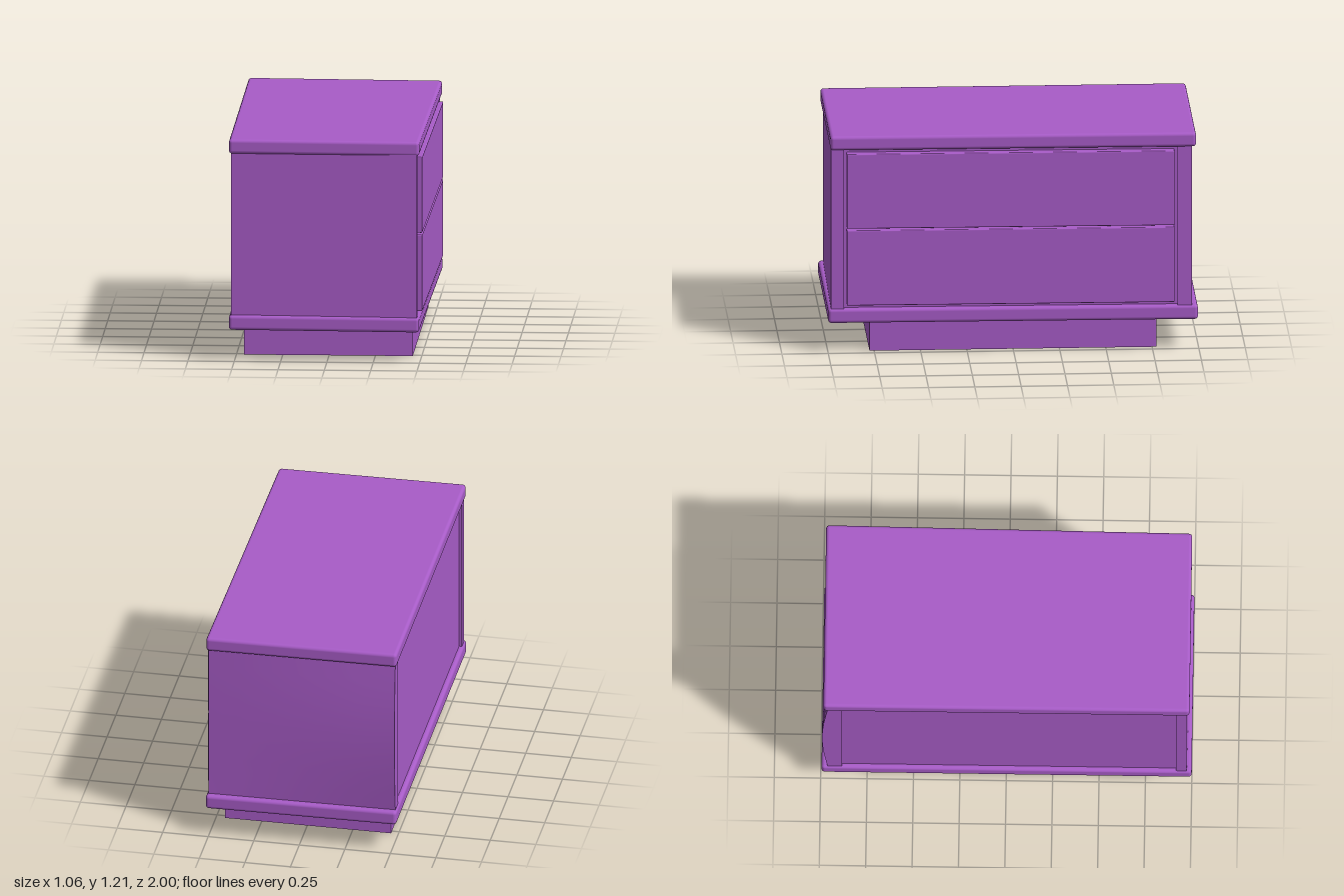
import * as THREE from 'three';
import { RoundedBoxGeometry } from 'three/addons/geometries/RoundedBoxGeometry.js';

const material = new THREE.MeshStandardMaterial({ color: 0xa85cc8, side: THREE.DoubleSide });

// The drawer side leans slightly outward towards -z, as if hand-cut.
const lean = (p) => { if (p.x > 0.3) p.x -= 0.01 * p.z; };

// The -z side panel swells outward at mid height, mostly near its rear edge.
const swell = (p) => {
  lean(p);
  const t = (p.y - 0.24) / 0.9;
  if (p.z < -0.93) p.z -= 0.03 * Math.sin(Math.PI * t) * (0.5 - p.x);
};

// The +z side panel is slightly narrower towards the rear.
const taper = (p) => {
  lean(p);
  if (p.z > 0.95) p.z += 0.012 * (p.x - 0.5);
};

// Slabs are very slightly wavy across their width.
const wave = (p) => {
  lean(p);
  p.y += 0.003 * Math.sin(-4 * p.x);
};

function warp(geometry, rule) {
  const pos = geometry.attributes.position;
  const p = new THREE.Vector3();
  for (let i = 0; i < pos.count; i++) {
    rule(p.fromBufferAttribute(pos, i));
    pos.setXYZ(i, p.x, p.y, p.z);
  }
  return geometry;
}

// Box given by its minimum and maximum corners; a radius rounds its edges.
function block(name, [x0, y0, z0], [x1, y1, z1], rule = lean, radius = 0) {
  const size = [x1 - x0, y1 - y0, z1 - z0];
  const geometry = radius
    ? new RoundedBoxGeometry(...size, 3, radius)
    : new THREE.BoxGeometry(...size, 6, 8, 1);
  geometry.translate((x0 + x1) / 2, (y0 + y1) / 2, (z0 + z1) / 2);
  warp(geometry, rule);
  if (!radius) geometry.computeVertexNormals();
  const mesh = new THREE.Mesh(geometry, material);
  mesh.name = name;
  return mesh;
}

export function createModel() {
  const model = new THREE.Group();
  model.name = 'drawerCabinet';

  // Top and bottom slabs with softened edges
  model.add(
    block('topSlab', [-0.53, 1.13, -0.985], [0.507, 1.208, 0.988], wave, 0.018),
    block('bottomSlab', [-0.53, 0.168, -0.995], [0.507, 0.248, 1], wave, 0.018),
  );

  // Carcass: two side panels, recessed rear panel and the board behind the drawers
  model.add(
    block('sidePanelLeft', [-0.52, 0.24, 0.915], [0.495, 1.14, 0.985], taper),
    block('sidePanelRight', [-0.52, 0.24, -0.962], [0.495, 1.14, -0.885], swell),
    block('rearPanel', [-0.505, 0.24, -0.9], [-0.47, 1.14, 0.93]),
    block('drawerBacking', [0.44, 0.24, -0.9], [0.47, 1.14, 0.93]),
  );

  // Two drawer fronts
  [['lowerDrawer', 0.267, 0.685], ['upperDrawer', 0.695, 1.11]].forEach(([name, y0, y1]) =>
    model.add(block(name, [0.46, y0, -0.868], [0.519, y1, 0.9], lean, 0.006)));

  // Hollow plinth, open underneath
  const x0 = -0.46, x1 = 0.452, z = 0.775, wall = 0.025;
  const outline = new THREE.Shape([[x0, -z], [x1, -z], [x1, z], [x0, z]]
    .map(([a, b]) => new THREE.Vector2(a, b)));
  outline.holes.push(new THREE.Path([
    [x0 + wall, -z + wall], [x0 + wall, z - wall], [x1 - wall, z - wall], [x1 - wall, -z + wall],
  ].map(([a, b]) => new THREE.Vector2(a, b))));
  const plinthGeometry = new THREE.ExtrudeGeometry(outline, { depth: 0.175, bevelEnabled: false });
  plinthGeometry.rotateX(-Math.PI / 2);
  const plinth = new THREE.Mesh(plinthGeometry, material);
  plinth.name = 'plinth';
  model.add(plinth);

  return model;
}
